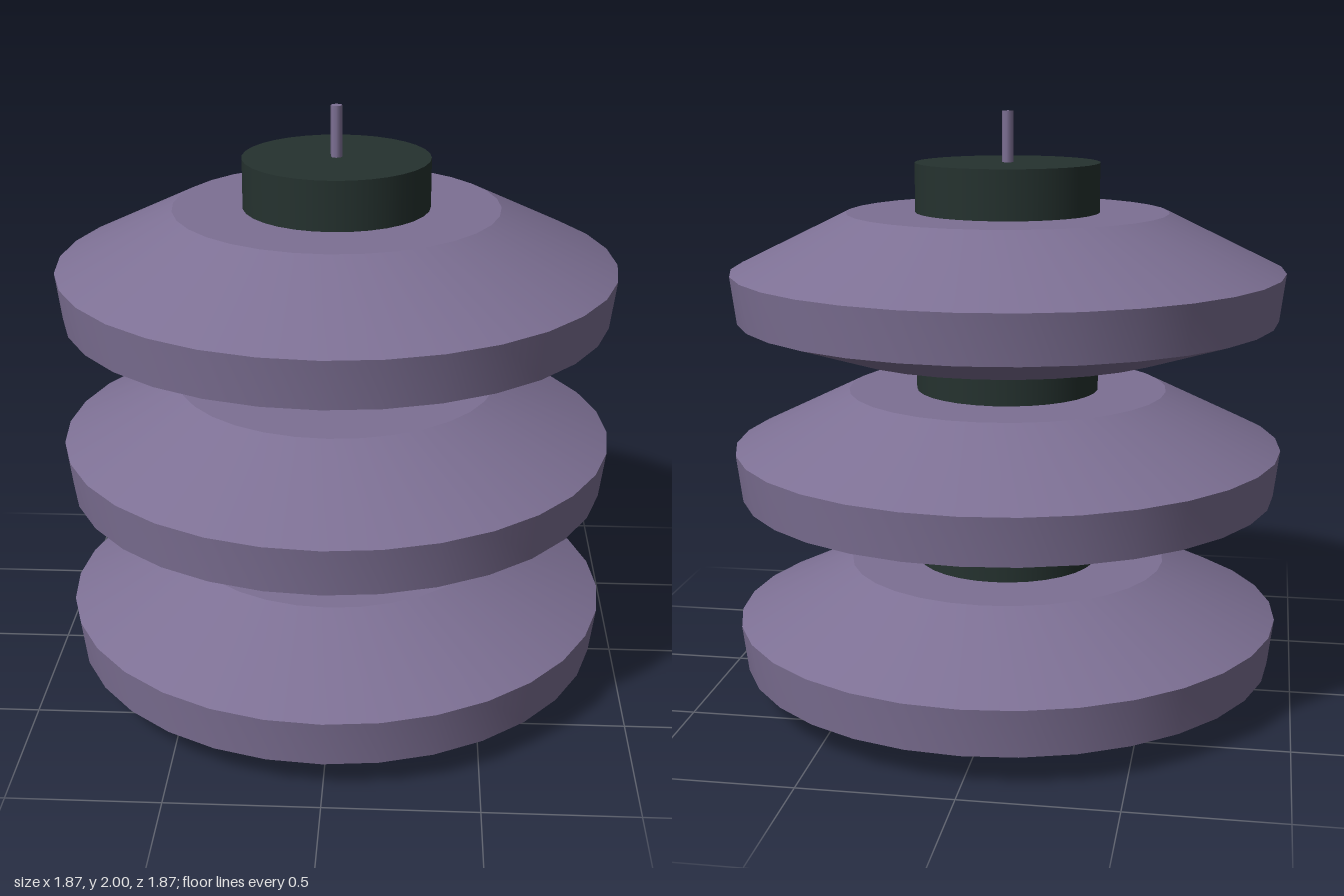
import * as THREE from 'three';
import { toCreasedNormals } from 'three/addons/utils/BufferGeometryUtils.js';

const SIDES = 32;
const PITCH = 0.605;

export function createModel() {
  const model = new THREE.Group();
  model.name = 'stackedInsulator';

  const mauve = new THREE.MeshStandardMaterial({ color: 0x7d7094 });
  mauve.name = 'mauve';
  const charcoal = new THREE.MeshStandardMaterial({ color: 0x25322f });
  charcoal.name = 'charcoal green';

  const add = (name, geometry, material, y) => {
    const mesh = new THREE.Mesh(geometry, material);
    mesh.name = name;
    mesh.position.y = y;
    model.add(mesh);
  };

  // Bevelled disc, turned from one profile with crisp rims
  const profile = [[0, 0], [0.605, 0], [0.917, 0.103], [0.937, 0.263], [0.545, 0.455], [0, 0.455]]
    .map(([r, y]) => new THREE.Vector2(r, y));
  const disc = toCreasedNormals(new THREE.LatheGeometry(profile, SIDES), 0.3);
  for (let i = 0; i < 3; i++) add(`disc${i + 1}`, disc, mauve, i * PITCH);

  // Dark collar above each disc
  const collarHeight = 0.165;
  const collar = new THREE.CylinderGeometry(0.312, 0.312, collarHeight, SIDES);
  for (let i = 0; i < 3; i++) {
    add(`collar${i + 1}`, collar, charcoal, i * PITCH + 0.455 + collarHeight / 2);
  }

  // Thin pin on top
  add('topPin', new THREE.CylinderGeometry(0.019, 0.019, 0.17, 8), mauve, 1.915);

  return model;
}
